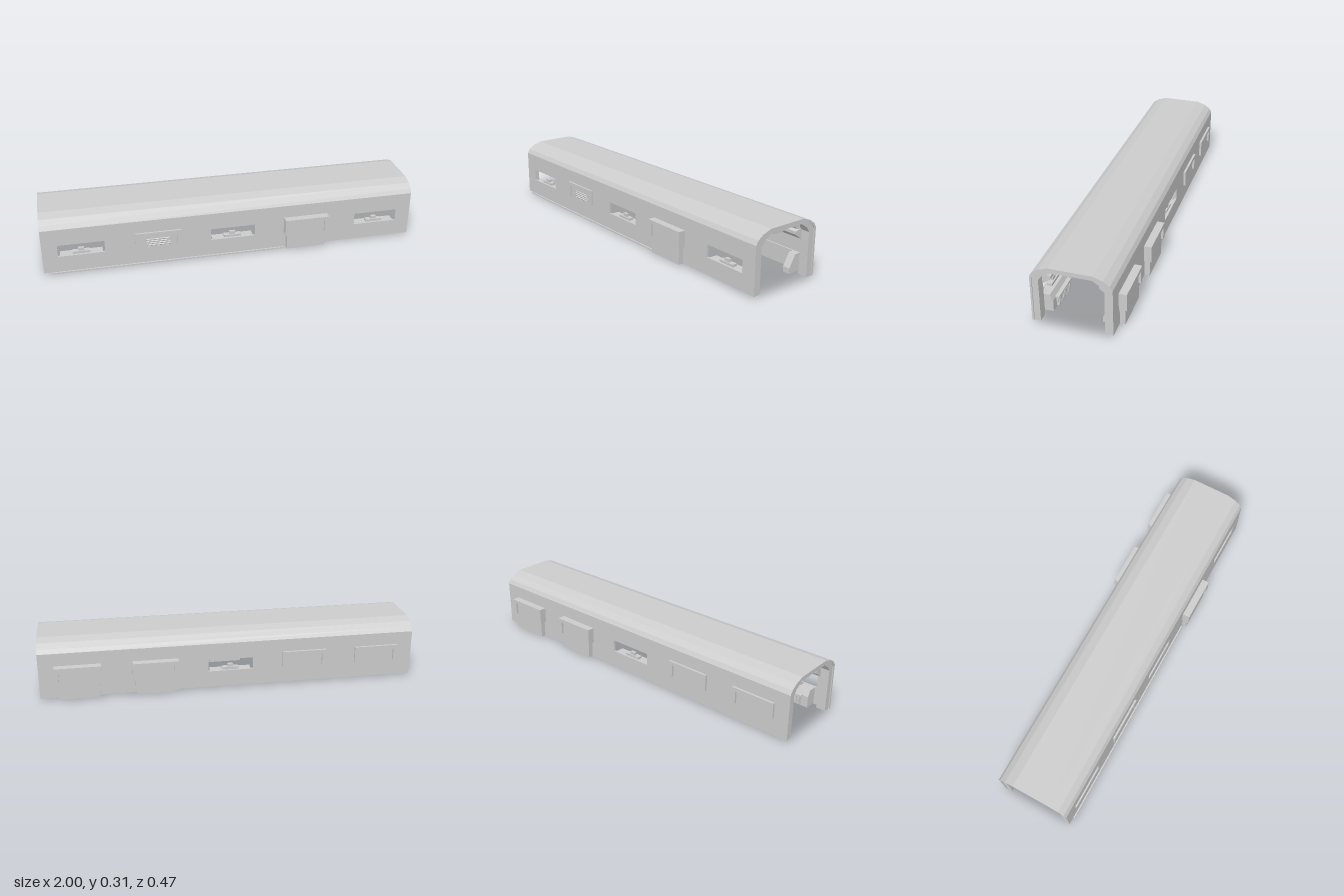
import * as THREE from 'three';

const mat = new THREE.MeshStandardMaterial({ color: 0xcccccc, flatShading: true, side: THREE.DoubleSide });
const floorMat = new THREE.MeshStandardMaterial({ color: 0xcccccc });

// Half profiles as [z, y]
const OUTER = [[0.198, 0.19], [0.198, 0.255], [0.185, 0.277], [0.154, 0.299], [0.106, 0.315]];
const LINING = [[0.188, 0.19], [0.188, 0.25], [0.176, 0.27], [0.15, 0.29], [0.104, 0.307]];
const RIB_IN = [[0.157, 0.007], [0.157, 0.188], [0.158, 0.236], [0.14, 0.262], [0.102, 0.288]];

function polygon(points) {
  return new THREE.Shape(points.map(([a, b]) => new THREE.Vector2(a, b)));
}

// Closed band between an outer and an inner half profile, mirrored in z
function arch(outer, inner) {
  const mirror = (p) => p.map(([z, y]) => [-z, y]).reverse();
  return [...outer, ...mirror(outer), ...mirror(inner).reverse(), ...inner.slice().reverse()];
}

// Extrudes a [z, y] outline along x, centred on x
function alongX(points, x, length) {
  const g = new THREE.ExtrudeGeometry(polygon(points.map(([z, y]) => [-z, y])), { depth: length, bevelEnabled: false });
  return g.rotateY(Math.PI / 2).translate(x - length / 2, 0, 0);
}

function add(parent, name, geometry) {
  const mesh = new THREE.Mesh(geometry, mat);
  mesh.name = name;
  parent.add(mesh);
  return mesh;
}

// Box from min/max ranges
function box(parent, name, x0, x1, y0, y1, z0, z1) {
  return add(parent, name, new THREE.BoxGeometry(x1 - x0, y1 - y0, z1 - z0)
    .translate((x0 + x1) / 2, (y0 + y1) / 2, (z0 + z1) / 2));
}

// Side wall with rectangular openings [centre, half width, bottom, top]
function wall(parent, side, openings) {
  const shape = polygon([[-1, 0.008], [1, 0.008], [1, 0.19], [-1, 0.19]]);
  for (const [x, w, b, t] of openings) {
    shape.holes.push(polygon([[x - w, b], [x - w, t], [x + w, t], [x + w, b]]));
  }
  const g = new THREE.ExtrudeGeometry(shape, { depth: 0.01, bevelEnabled: false });
  add(parent, 'sideWall', g.translate(0, 0, side > 0 ? 0.188 : -0.198));
}

// Upside-down U trim over a window
function hood(parent, x, side, reach) {
  const s = polygon([[-0.12, 0.098], [-0.12, 0.186], [0.12, 0.186], [0.12, 0.098],
    [0.098, 0.098], [0.098, 0.166], [-0.098, 0.166], [-0.098, 0.098]]);
  const depth = reach - 0.196;
  const g = new THREE.ExtrudeGeometry(s, { depth, bevelEnabled: false });
  add(parent, 'windowHood', g.translate(x, 0, side > 0 ? 0.196 : -reach));
}

// Projecting bay: box body under a deep hood
function bay(parent, x, side) {
  const z = [0.196 * side, 0.225 * side].sort((a, b) => a - b);
  box(parent, 'bayBody', x - 0.107, x + 0.107, 0.007, 0.172, ...z);
  hood(parent, x, side, 0.237);
}

// Control desk built against the front wall; rotated for the back wall
function desk(parent, x, side) {
  const g = new THREE.Group();
  g.name = 'controlDesk';
  add(g, 'deskCabinet', alongX([[0.188, 0.005], [0.128, 0.005], [0.128, 0.065], [0.143, 0.097], [0.188, 0.097]], 0, 0.22));
  box(g, 'deskFront', -0.07, 0.07, 0.012, 0.062, 0.118, 0.13);
  for (let i = -4; i <= 4; i++) box(g, 'deskFin', i * 0.016 - 0.004, i * 0.016 + 0.004, 0.015, 0.06, 0.112, 0.12);
  box(g, 'deskTop', -0.08, 0.08, 0.062, 0.07, 0.11, 0.14);
  box(g, 'screenBase', -0.045, 0.045, 0.095, 0.11, 0.158, 0.185);
  box(g, 'screenPost', -0.015, 0.015, 0.11, 0.126, 0.165, 0.18);
  if (side < 0) {
    box(g, 'seatBase', -0.04, 0.04, 0.004, 0.022, 0.088, 0.13);
    box(g, 'seatStep', -0.03, 0.03, 0.022, 0.04, 0.092, 0.13);
    g.rotation.y = Math.PI;
  }
  g.position.x = x;
  parent.add(g);
}

export function createModel() {
  const model = new THREE.Group();
  model.name = 'corridor';

  // Outer shell
  add(model, 'roof', alongX(arch(OUTER, LINING), 0, 2));
  const open = (x) => [x, 0.12, 0.098, 0.163];
  wall(model, 1, [open(-0.8), open(0), open(0.8), open(0.4), [-0.4, 0.062, 0.1, 0.146]]);
  wall(model, -1, [open(0), open(0.4), open(0.8)]);

  // Underside skin, facing down
  const floor = new THREE.Mesh(new THREE.PlaneGeometry(2, 0.396).rotateX(Math.PI / 2), floorMat);
  floor.name = 'floor';
  floor.position.y = 0.006;
  model.add(floor);
  box(model, 'frontSkirt', -0.96, 0.28, 0, 0.008, 0.19, 0.206);

  // Bays and shallow hoods
  bay(model, 0.4, 1);
  bay(model, 0.4, -1);
  bay(model, 0.8, -1);
  hood(model, -0.4, 1, 0.208);
  hood(model, -0.4, -1, 0.21);
  hood(model, -0.8, -1, 0.21);

  // Louvred vent under the front hood
  box(model, 'ventBack', -0.465, -0.335, 0.097, 0.149, 0.18, 0.187);
  for (let i = 0; i < 4; i++) {
    const slat = box(model, 'ventSlat', -0.062, 0.062, -0.003, 0.003, -0.005, 0.005);
    slat.position.set(-0.4, 0.106 + i * 0.0113, 0.193);
    slat.rotation.x = 0.4;
  }

  // Frame ribs between the windows
  const ribOuter = [[0.188, 0.007], ...LINING];
  for (const x of [-0.97, -0.6, -0.2, 0.2, 0.6, 0.97]) {
    add(model, 'frameRib', alongX(arch(ribOuter, RIB_IN), x, 0.05));
  }

  // Ceiling duct and side mouldings
  add(model, 'ceilingDuct', alongX([[0.1, 0.29], [0.1, 0.279], [0.033, 0.262], [0.022, 0.255],
    [-0.022, 0.255], [-0.033, 0.262], [-0.1, 0.279], [-0.1, 0.29], [-0.06, 0.29], [-0.04, 0.272],
    [0.04, 0.272], [0.06, 0.29]], 0, 1.9));
  for (const s of [-1, 1]) {
    const flip = (p) => p.map(([z, y]) => [z * s, y]);
    add(model, 'sideMoulding', alongX(flip([[0.188, 0.19], [0.157, 0.188], [0.116, 0.219], [0.116, 0.234],
      [0.136, 0.241], [0.188, 0.241]]), 0, 1.9));
    add(model, 'ceilingEdge', alongX(flip([[0.14, 0.242], [0.118, 0.248], [0.102, 0.28], [0.102, 0.29],
      [0.13, 0.285], [0.145, 0.26]]), 0, 1.9));
  }

  // Sloped buttresses on the back wall
  for (const x of [0.6, 0.9]) {
    add(model, 'wallButtress', alongX([[-0.19, 0.007], [-0.12, 0.007], [-0.12, 0.035], [-0.157, 0.1], [-0.19, 0.1]], x, 0.04));
  }

  // Desks below the windows
  for (const x of [-0.8, 0, 0.8]) desk(model, x, 1);
  for (const x of [-0.8, -0.4, 0]) desk(model, x, -1);

  return model;
}
